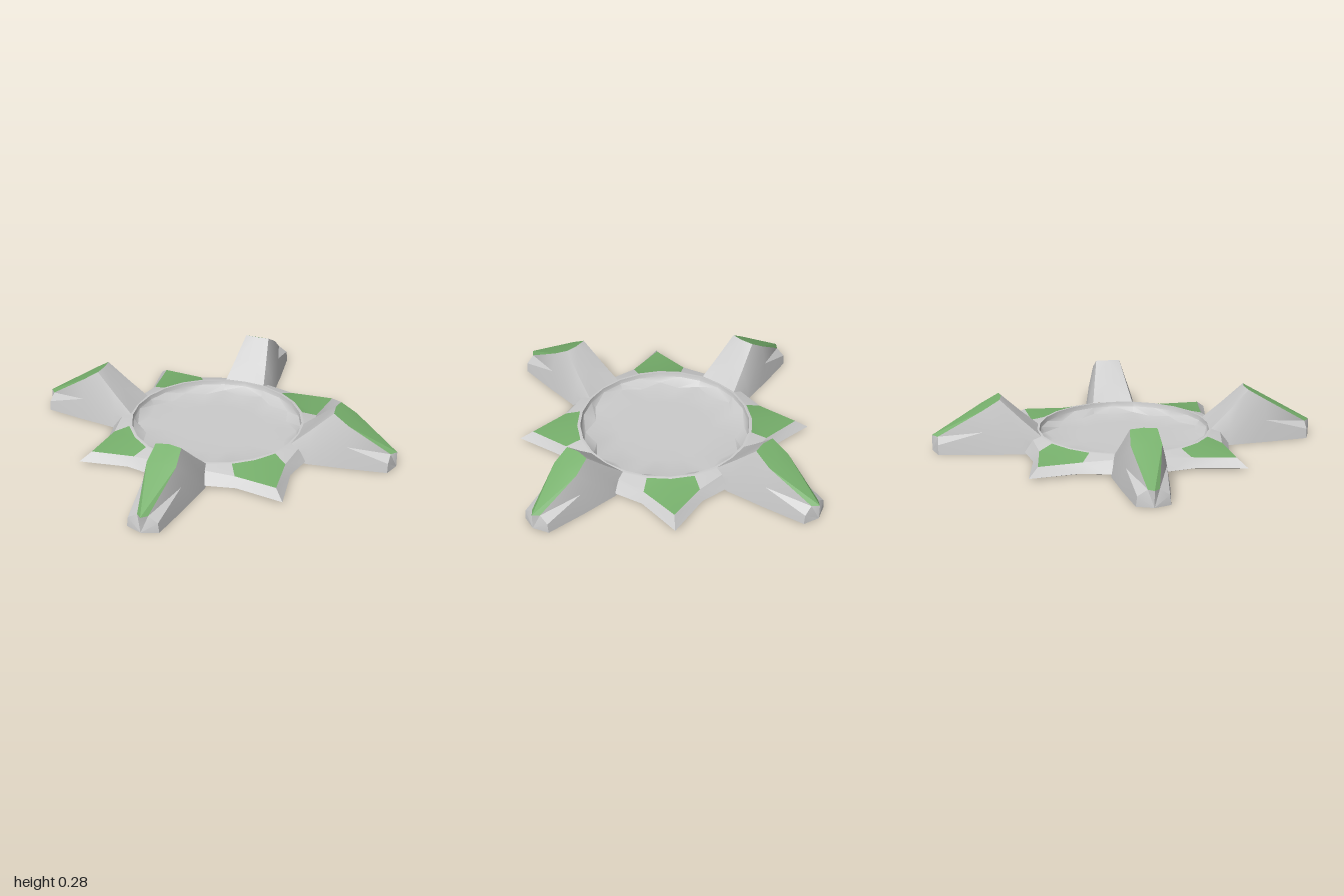
import * as THREE from 'three';
import { toCreasedNormals } from 'three/addons/utils/BufferGeometryUtils.js';

const grey = new THREE.MeshStandardMaterial({ color: 0xcccccc });
const green = new THREE.MeshStandardMaterial({ color: 0x77b06c });

// Collects quads (a, b, c, d counter-clockwise) and drops collapsed triangles
class Surface {
  constructor() { this.positions = []; }
  tri(a, b, c) {
    if (a.distanceTo(b) < 1e-6 || b.distanceTo(c) < 1e-6 || c.distanceTo(a) < 1e-6) return;
    for (const p of [a, b, c]) this.positions.push(p.x, p.y, p.z);
  }
  quad(a, b, c, d) { this.tri(a, b, c); this.tri(a, c, d); }
  mesh(name, material, crease = 0.5) {
    let geometry = new THREE.BufferGeometry();
    geometry.setAttribute('position', new THREE.Float32BufferAttribute(this.positions, 3));
    geometry = toCreasedNormals(geometry, crease);
    const mesh = new THREE.Mesh(geometry, material);
    mesh.name = name;
    return mesh;
  }
}

// Ring of 24 points; values repeat mirrored in every quarter: 0, 15, 30, 45 degrees
const SIDES = 24;
const QUARTER = [0, 1, 2, 3, 2, 1];
function ring(radii, heights) {
  const points = [];
  for (let k = 0; k < SIDES; k++) {
    const i = QUARTER[k % 6], a = (k / SIDES) * Math.PI * 2;
    const r = Array.isArray(radii) ? radii[i] : radii;
    const y = Array.isArray(heights) ? heights[i] : heights;
    points.push(new THREE.Vector3(r * Math.sin(a), y, r * Math.cos(a)));
  }
  return points;
}

function band(from, to, pick) {
  for (let k = 0; k < SIDES; k++) {
    const n = (k + 1) % SIDES;
    // mirror the diagonal so that every spike is symmetric
    if (k % 6 < 3) pick(k).quad(from[k], from[n], to[n], to[k]);
    else pick(k).quad(from[n], to[n], to[k], from[k]);
  }
}

// Star-shaped base with four corner spikes and their coloured panels
function createBase() {
  const shell = new Surface(), panels = new Surface(), basin = new Surface();
  const shellRings = [
    ring(0, 0),
    ring([0.52, 0.52, 0.54, 0.68], 0),
    ring([0.54, 0.55, 0.578, 0.764], 0.012),
    ring([0.50, 0.505, 0.54, 0.695], [0.07, 0.07, 0.058, 0.054]),
    ring(0.462, 0.083),
    ring(0.455, 0.085),
    ring(0.446, 0.085),
  ];
  for (let i = 0; i < shellRings.length - 1; i++) {
    band(shellRings[i], shellRings[i + 1],
      k => (i === 3 && (k % 6 === 2 || k % 6 === 3) ? panels : shell));
  }
  // Shallow dish with a scalloped floor edge
  const dishRings = [
    shellRings[6],
    ring(0.442, 0.062),
    ring([0.375, 0.42, 0.375, 0.42], 0.035),
    ring(0.25, 0.032),
    ring(0, 0.032),
  ];
  for (let i = 0; i < dishRings.length - 1; i++) band(dishRings[i], dishRings[i + 1], () => basin);

  const base = new THREE.Group();
  base.name = 'base';
  base.add(shell.mesh('starBody', grey), panels.mesh('spikePanels', green), basin.mesh('dish', grey, 0.7));
  return base;
}

// Raised arm: [z, bottom half width, shoulder half width, shoulder y, top half width, top y, crown, nose]
const SECTIONS = [
  [0.445, 0.13, 0.125, 0.045, 0.11, 0.085, 0, 0.01],
  [0.54, 0.14, 0.122, 0.085, 0.09, 0.17, 0, 0],
  [0.65, 0.126, 0.105, 0.13, 0.066, 0.275, 0.003, -0.01],
  [0.74, 0.116, 0.098, 0.115, 0.075, 0.222, 0.008, 0],
  [0.97, 0.082, 0.076, 0.05, 0.028, 0.08, 0.002, 0.03],
];

function createArm(name, stretch) {
  const sides = new Surface(), panel = new Surface();
  const loops = SECTIONS.map(([z0, b, s, sy, t, ty, crown, nose]) => {
    const z = z0 > 0.65 ? 0.65 + (z0 - 0.65) * stretch : z0;
    const tip = z + nose * stretch;
    return [
      [b, 0, z], [s, sy, z], [t, ty, z], [0, ty + crown, tip],
      [-t, ty, z], [-s, sy, z], [-b, 0, z], [0, 0, tip],
    ].map(p => new THREE.Vector3(...p));
  });
  for (let i = 0; i < loops.length - 1; i++) {
    const a = loops[i], b = loops[i + 1];
    for (let j = 0; j < 8; j++) {
      const n = (j + 1) % 8;
      const target = i >= 2 && (j === 2 || j === 3) ? panel : sides;
      if (j < 3) target.quad(a[j], a[n], b[n], b[j]);
      else target.quad(a[n], b[n], b[j], a[j]);
    }
  }
  // Blunt pointed end
  const end = loops[loops.length - 1];
  for (let j = 0; j < 6; j++) sides.tri(end[7], end[j], end[j + 1]);

  const arm = new THREE.Group();
  arm.name = name;
  arm.add(sides.mesh('armBody', grey), panel.mesh('armPanel', green));
  return arm;
}

export function createModel() {
  const model = new THREE.Group();
  model.name = 'landingPad';
  model.add(createBase());
  ['frontArm', 'leftArm', 'backArm', 'rightArm'].forEach((name, i) => {
    const arm = createArm(name, i % 2 ? 0.914 : 1);
    arm.rotation.y = (i * Math.PI) / 2;
    model.add(arm);
  });
  return model;
}
